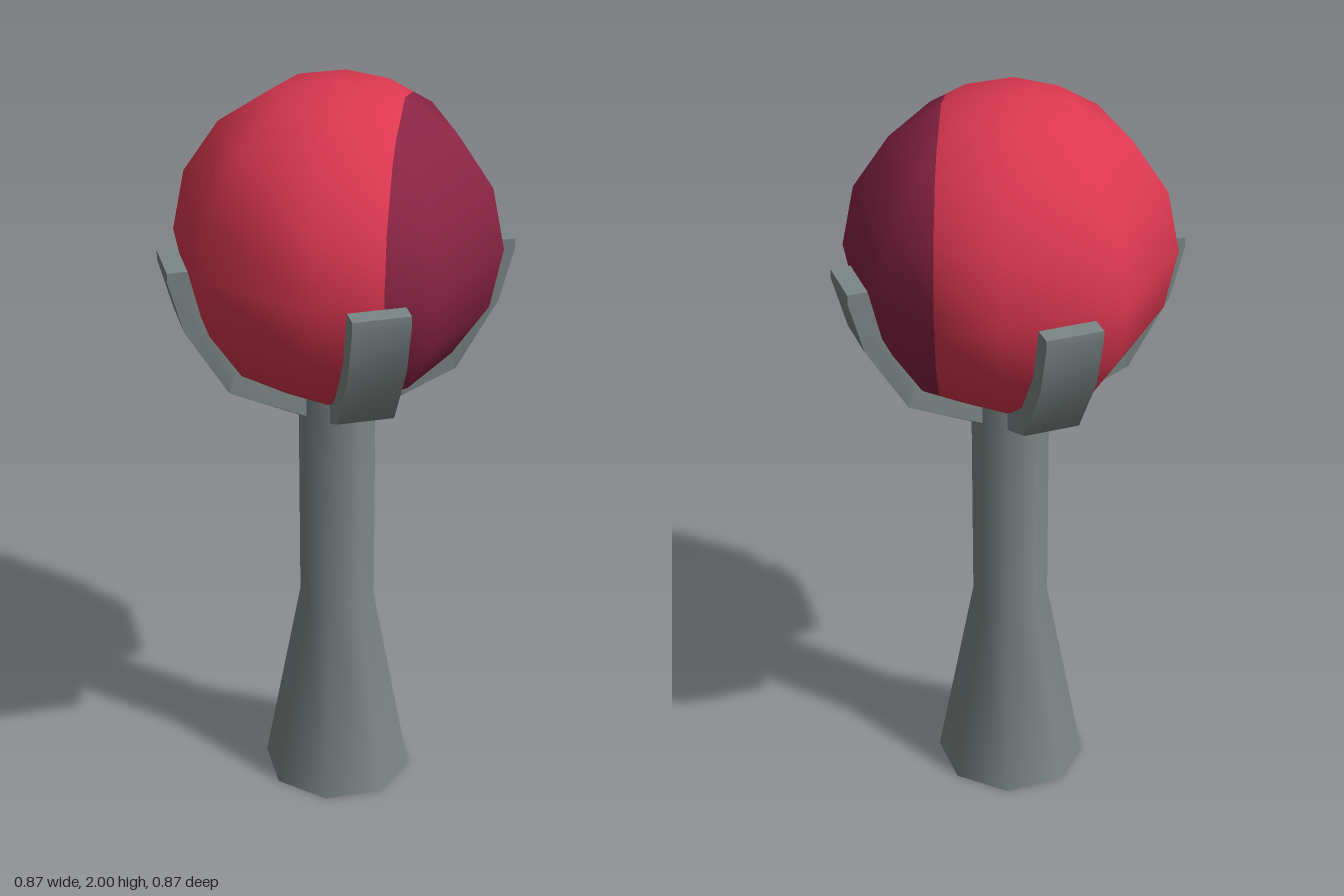
import * as THREE from 'three';
import { toCreasedNormals } from 'three/addons/utils/BufferGeometryUtils.js';

// Keeps the part of a geometry where side * (x - cut) >= 0, with its smooth normals.
function clipX(source, cut, side) {
  const g = source.toNonIndexed();
  const p = g.attributes.position, n = g.attributes.normal;
  const positions = [], normals = [];
  for (let i = 0; i < p.count; i += 3) {
    const tri = [0, 1, 2].map((k) => ({
      p: new THREE.Vector3().fromBufferAttribute(p, i + k),
      n: new THREE.Vector3().fromBufferAttribute(n, i + k),
    }));
    const poly = [];
    tri.forEach((a, k) => {
      const b = tri[(k + 1) % 3];
      const da = side * (a.p.x - cut), db = side * (b.p.x - cut);
      if (da >= 0) poly.push(a);
      if (da * db < 0) {
        const t = da / (da - db);
        poly.push({ p: a.p.clone().lerp(b.p, t), n: a.n.clone().lerp(b.n, t).normalize() });
      }
    });
    for (let k = 1; k < poly.length - 1; k++) {
      for (const v of [poly[0], poly[k], poly[k + 1]]) {
        positions.push(v.p.x, v.p.y, v.p.z);
        normals.push(v.n.x, v.n.y, v.n.z);
      }
    }
  }
  const out = new THREE.BufferGeometry();
  out.setAttribute('position', new THREE.Float32BufferAttribute(positions, 3));
  out.setAttribute('normal', new THREE.Float32BufferAttribute(normals, 3));
  return out;
}

// Curved claw: side profile (radius, height), narrowed where it leaves the stem.
function clawGeometry() {
  const width = 0.144;
  const profile = [
    [0.085, 1.115], [0.1, 1.12], [0.295, 1.225], [0.403, 1.405], [0.441, 1.545], [0.441, 1.57],
    [0.39, 1.57], [0.356, 1.425], [0.27, 1.29], [0.145, 1.215], [0.085, 1.215],
  ].map(([r, y]) => new THREE.Vector2(r, y));
  const g = new THREE.ExtrudeGeometry(new THREE.Shape(profile), { depth: width, bevelEnabled: false });
  g.translate(0, 0, -width / 2);
  const p = g.attributes.position;
  for (let i = 0; i < p.count; i++) {
    const r = p.getX(i);
    const s = THREE.MathUtils.clamp(0.55 + (r - 0.1) * 2.4, 0.55, 1);
    p.setZ(i, p.getZ(i) * s);
  }
  return toCreasedNormals(g, 0.75);
}

export function createModel() {
  const model = new THREE.Group();
  const material = (name, color) => {
    const m = new THREE.MeshStandardMaterial({ color });
    m.name = name;
    return m;
  };
  const grey = material('grey metal', 0x7d8786);
  const red = material('red', 0xdc3850);
  const purple = material('dark purple', 0x8a2445);

  const add = (name, geometry, mat) => {
    const mesh = new THREE.Mesh(geometry, mat);
    mesh.name = name;
    model.add(mesh);
    return mesh;
  };

  // Eight-sided stem with a flared foot
  const stemProfile = [[0.2, 0], [0.1, 0.55], [0.1, 1.22]].map(([r, y]) => new THREE.Vector2(r, y));
  add('stem', new THREE.LatheGeometry(stemProfile, 8), grey);
  add('stemBase', new THREE.CircleGeometry(0.2, 8).rotateX(Math.PI / 2), grey);
  const top = add('stemTop', new THREE.CircleGeometry(0.1, 8).rotateX(-Math.PI / 2), grey);
  top.position.y = 1.22;

  // Four claws holding the ball
  const claw = clawGeometry();
  for (let i = 0; i < 4; i++) {
    add('claw' + (i + 1), claw, grey).rotation.y = -Math.PI * 0.375 + (i * Math.PI) / 2;
  }

  // Two-coloured ball
  const ball = new THREE.SphereGeometry(0.415, 8, 8);
  add('ballMain', clipX(ball, 0.165, -1), red).position.y = 1.585;
  add('ballSide', clipX(ball, 0.165, 1), purple).position.y = 1.585;

  return model;
}
